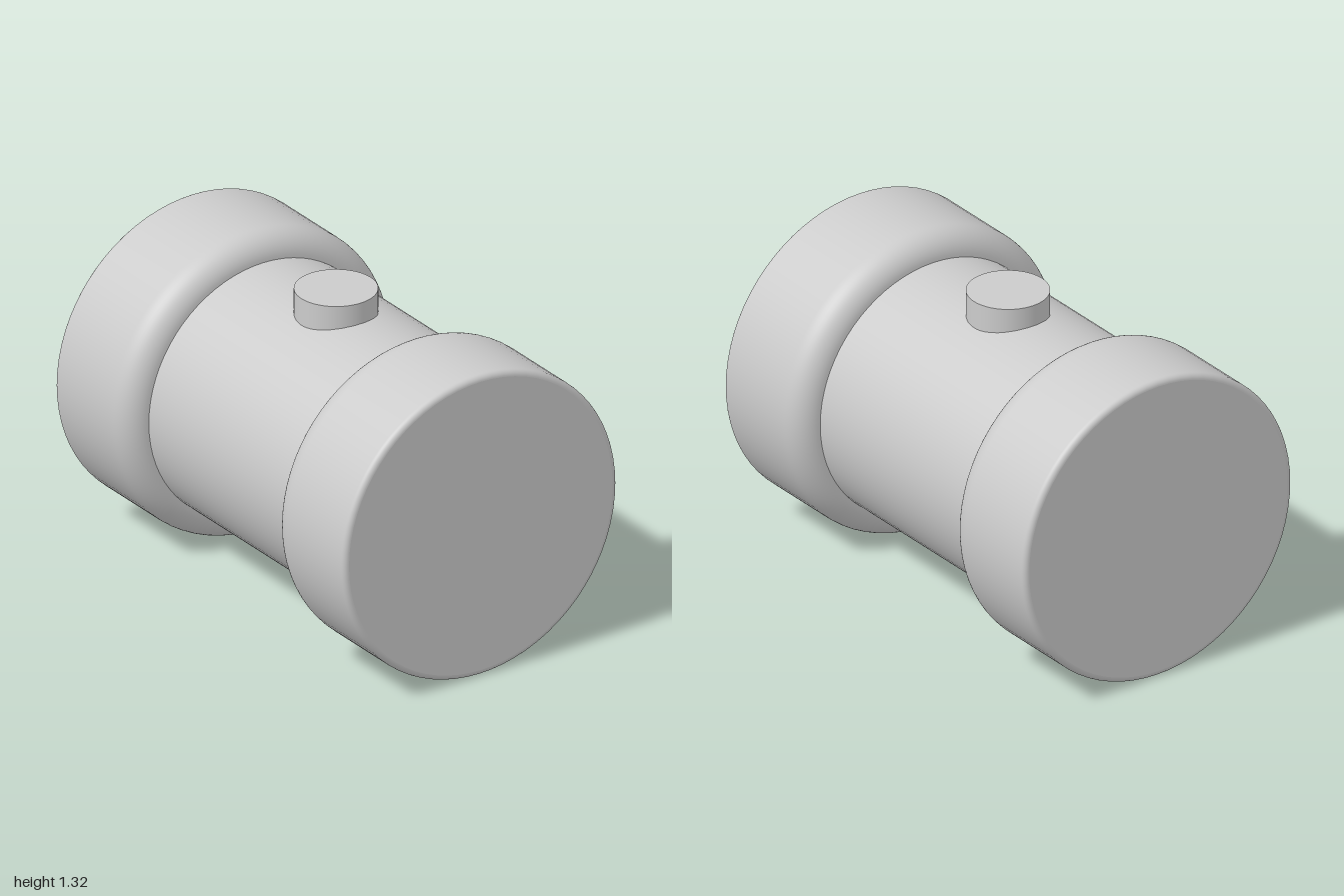
import * as THREE from 'three';

const AXIS_Y = 0.66; // height of the long axis
const CAP_R = 0.66, BODY_R = 0.553;
const SIDES = 72;

const material = new THREE.MeshStandardMaterial({ color: 0xcccccc });

function addPart(parent, name, geometry) {
  const mesh = new THREE.Mesh(geometry, material);
  mesh.name = name;
  parent.add(mesh);
  return mesh;
}

// Quarter-round profile points about (r, z), swept from angle a to b
function fillet(r, z, radius, a, b, steps) {
  return Array.from({ length: steps + 1 }, (_, i) => {
    const t = a + ((b - a) * i) / steps;
    return new THREE.Vector2(r + radius * Math.cos(t), z + radius * Math.sin(t));
  });
}

// End cap along +z: wide round on the inner shoulder, small round on the outer rim
function createCap(name) {
  const cap = new THREE.Group();
  cap.name = name;
  const big = CAP_R - BODY_R, small = 0.025;
  const profile = [
    ...fillet(CAP_R - big, 0.5 + big, big, -Math.PI / 2, 0, 12),
    ...fillet(CAP_R - small, 1 - small, small, 0, Math.PI / 2, 8),
  ];
  addPart(cap, 'capRim', new THREE.LatheGeometry(profile, SIDES).rotateX(Math.PI / 2));
  addPart(cap, 'capFace', new THREE.CircleGeometry(CAP_R - small, SIDES).translate(0, 0, 1));
  return cap;
}

export function createModel() {
  const model = new THREE.Group();
  model.name = 'cappedCylinder';

  // Central barrel lying along z
  const barrel = addPart(model, 'barrel',
    new THREE.CylinderGeometry(BODY_R, BODY_R, 1.02, SIDES, 1, true).rotateX(Math.PI / 2));
  barrel.position.y = AXIS_Y;

  // Matching caps at both ends
  const frontCap = createCap('frontCap');
  const backCap = createCap('backCap');
  backCap.rotation.y = Math.PI;
  for (const cap of [frontCap, backCap]) {
    cap.position.y = AXIS_Y;
    model.add(cap);
  }

  // Round button on top, sunk into the barrel
  const button = addPart(model, 'button', new THREE.CylinderGeometry(0.167, 0.167, 0.15, 64));
  button.position.y = 1.304 - 0.075;

  return model;
}
